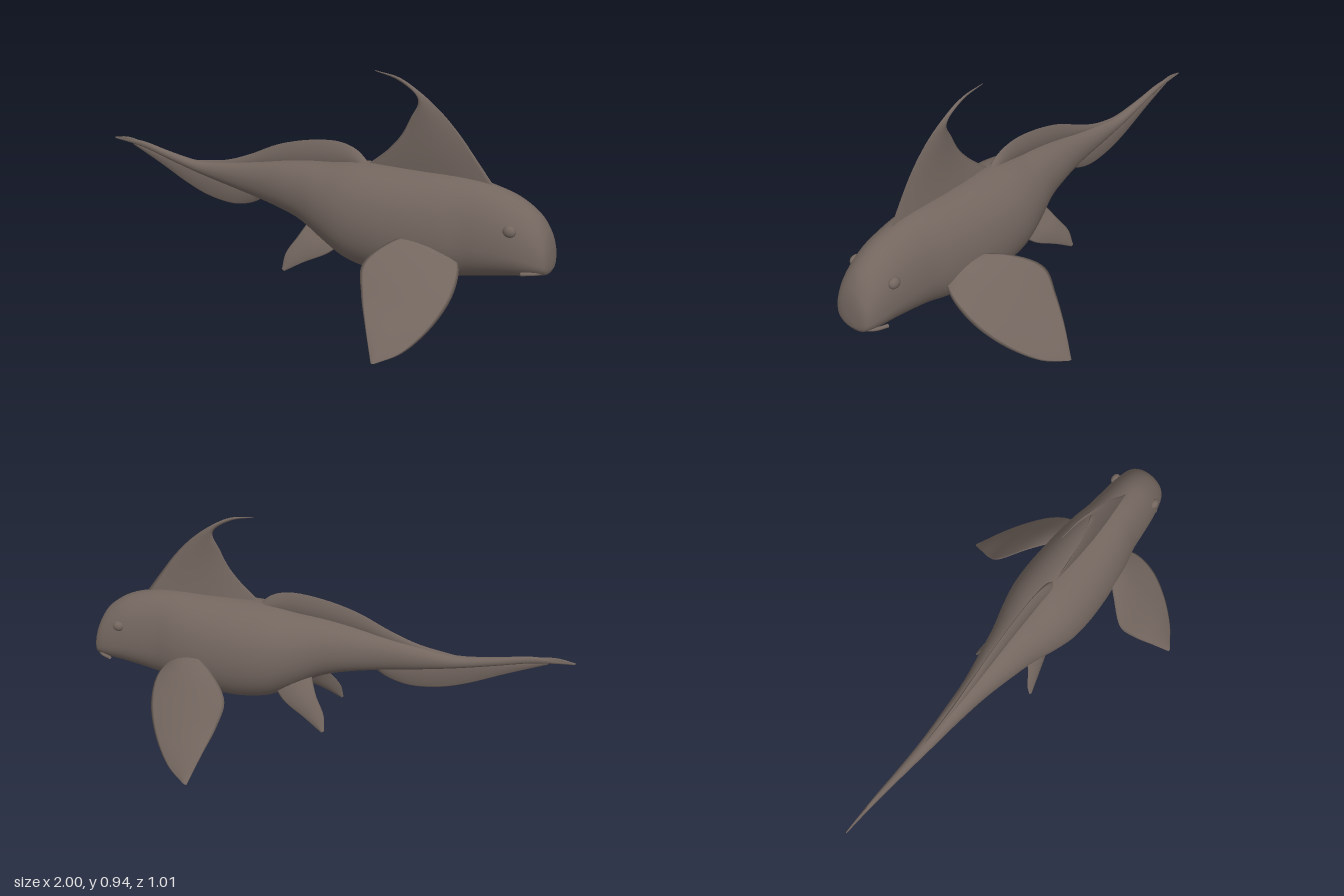
import * as THREE from 'three';

const skin = new THREE.MeshStandardMaterial({ color: 0x73665f, side: THREE.DoubleSide });
skin.name = 'greyBrownSkin';

// Joins closed rings of points into one smooth skin
function loft(rings, name) {
  const n = rings[0].length, pos = [], idx = [];
  rings.forEach(r => r.forEach(p => pos.push(p.x, p.y, p.z)));
  for (let i = 0; i < rings.length - 1; i++) {
    for (let j = 0; j < n; j++) {
      const a = i * n + j, b = i * n + (j + 1) % n;
      idx.push(a, a + n, b, b, a + n, b + n);
    }
  }
  const g = new THREE.BufferGeometry();
  g.setAttribute('position', new THREE.Float32BufferAttribute(pos, 3));
  g.setIndex(idx);
  g.computeVertexNormals();
  const mesh = new THREE.Mesh(g, skin);
  mesh.name = name;
  return mesh;
}

const curve = pts => new THREE.CatmullRomCurve3(pts.map(p => new THREE.Vector3(...p)), false, 'centripetal');

// Fin with a lens-shaped section between two edge curves, thinning from t0 to t1
function fin(name, edgeA, edgeB, t0, t1) {
  const a = curve(edgeA), b = curve(edgeB), rows = 30, rings = [];
  for (let i = 0; i <= rows; i++) {
    const t = i / rows, p = a.getPoint(t), q = b.getPoint(t);
    const mid = p.clone().lerp(q, 0.5), half = p.clone().sub(q).multiplyScalar(0.5);
    const span = a.getTangent(t).add(b.getTangent(t));
    const out = new THREE.Vector3().crossVectors(half, span).normalize();
    const thick = Math.min(THREE.MathUtils.lerp(t0, t1, t), half.length() * 0.6);
    const ring = [];
    for (let j = 0; j < 16; j++) {
      const u = j / 16 * Math.PI * 2, s = Math.sin(u);
      ring.push(mid.clone().addScaledVector(half, Math.cos(u)).addScaledVector(out, s * Math.abs(s) * thick));
    }
    rings.push(ring);
  }
  return loft(rings, name);
}

// Body stations: x, bottom, top, half width, middle z, height of the widest line (0 to 1)
const stations = [
  [1.0, 0.28, 0.31, 0.025, 0.008, 0.4], [0.99, 0.263, 0.375, 0.068, 0.008, 0.35],
  [0.97, 0.257, 0.43, 0.088, 0.01, 0.32], [0.93, 0.248, 0.485, 0.102, 0.012, 0.32],
  [0.85, 0.235, 0.537, 0.115, 0.016, 0.35], [0.75, 0.215, 0.567, 0.124, 0.018, 0.38],
  [0.68, 0.2, 0.578, 0.131, 0.018, 0.4], [0.6, 0.18, 0.583, 0.149, 0.018, 0.42],
  [0.5, 0.165, 0.583, 0.163, 0.018, 0.44], [0.4, 0.156, 0.582, 0.171, 0.018, 0.45],
  [0.3, 0.16, 0.58, 0.173, 0.018, 0.46], [0.2, 0.182, 0.575, 0.165, 0.018, 0.46],
  [0.1, 0.235, 0.56, 0.14, 0.018, 0.46], [0, 0.292, 0.55, 0.108, 0.018, 0.46],
  [-0.1, 0.325, 0.535, 0.085, 0.016, 0.47], [-0.25, 0.355, 0.505, 0.054, 0.012, 0.5],
  [-0.4, 0.382, 0.48, 0.037, 0.006, 0.5], [-0.55, 0.412, 0.463, 0.025, 0.002, 0.5],
  [-0.7, 0.447, 0.482, 0.016, -0.002, 0.5], [-0.85, 0.483, 0.509, 0.009, -0.006, 0.5],
  [-1, 0.5, 0.506, 0.002, -0.01, 0.5],
];

function makeBody() {
  const a = curve(stations.map(s => s.slice(0, 3))), b = curve(stations.map(s => [s[3], s[4], s[5]]));
  // Both tables share one parameter, so each is sampled linearly between close stations
  const rings = [];
  const steps = 4;
  const plain = (k, f, col) => {
    const at = i => stations[Math.max(0, Math.min(stations.length - 1, i))][col];
    const [p0, p1, p2, p3] = [at(k - 1), at(k), at(k + 1), at(k + 2)];
    const m1 = (p2 - p0) / 2, m2 = (p3 - p1) / 2, f2 = f * f, f3 = f2 * f;
    return (2 * f3 - 3 * f2 + 1) * p1 + (f3 - 2 * f2 + f) * m1 + (3 * f2 - 2 * f3) * p2 + (f3 - f2) * m2;
  };
  const ringAt = (k, f) => {
    const [x, lo, hi, w, zc, c] = [0, 1, 2, 3, 4, 5].map(col => plain(k, f, col));
    const yc = lo + (hi - lo) * c, ring = [];
    for (let j = 0; j < 40; j++) {
      const u = j / 40 * Math.PI * 2, cy = Math.cos(u), sz = Math.sin(u);
      const e = cy > 0 ? 1 : 0.92;
      ring.push(new THREE.Vector3(x,
        yc + Math.sign(cy) * Math.abs(cy) ** e * (cy > 0 ? hi - yc : yc - lo),
        zc + Math.sign(sz) * Math.abs(sz) ** e * w));
    }
    return ring;
  };
  const first = ringAt(0, 0);
  const centre = new THREE.Vector3(1, 0.295, 0.008);
  rings.push(first.map(() => centre.clone()));
  for (let k = 0; k < stations.length - 1; k++) {
    for (let s = 0; s < steps; s++) rings.push(ringAt(k, s / steps));
  }
  rings.push(ringAt(stations.length - 2, 1));
  return loft(rings, 'body');
}

export function createModel() {
  const model = new THREE.Group();
  model.name = 'fish';
  model.add(makeBody());

  // Tall swept front dorsal fin
  model.add(fin('frontDorsalFin',
    [[0.78, 0.54, 0.02], [0.7, 0.65, 0.03], [0.63, 0.74, 0.034], [0.55, 0.82, 0.034], [0.46, 0.885, 0.03], [0.38, 0.925, 0.025], [0.28, 0.941, 0.02]],
    [[0.23, 0.55, 0.02], [0.34, 0.64, 0.03], [0.4, 0.71, 0.034], [0.435, 0.78, 0.034], [0.462, 0.85, 0.03], [0.38, 0.912, 0.025], [0.28, 0.938, 0.02]],
    0.016, 0.004));

  // Long low rear dorsal fin
  model.add(fin('rearDorsalFin',
    [[0.27, 0.565, 0.018], [0.21, 0.618, 0.014], [0.13, 0.641, 0.01], [0, 0.631, 0.009], [-0.15, 0.592, 0.008], [-0.28, 0.533, 0.006], [-0.4, 0.49, 0.005], [-0.55, 0.465, 0.002]],
    [[0.25, 0.53, 0.018], [0.2, 0.53, 0.018], [0.13, 0.52, 0.018], [0, 0.51, 0.016], [-0.15, 0.49, 0.014], [-0.28, 0.47, 0.01], [-0.4, 0.455, 0.006], [-0.55, 0.44, 0.002]],
    0.02, 0.006));

  // Lower tail fin
  model.add(fin('lowerTailFin',
    [[-0.2, 0.37, 0.012], [-0.27, 0.325, 0.009], [-0.37, 0.301, 0.006], [-0.5, 0.316, 0.003], [-0.6, 0.35, 0], [-0.75, 0.42, -0.004], [-0.9, 0.485, -0.008]],
    [[-0.18, 0.4, 0.012], [-0.27, 0.41, 0.009], [-0.37, 0.42, 0.006], [-0.5, 0.435, 0.003], [-0.6, 0.45, 0], [-0.75, 0.475, -0.004], [-0.9, 0.5, -0.008]],
    0.012, 0.004));

  // Upturned tip of the tail
  model.add(fin('tailTip',
    [[-0.72, 0.485, -0.002], [-0.85, 0.507, -0.006], [-0.93, 0.517, -0.008], [-1, 0.507, -0.01]],
    [[-0.72, 0.45, -0.002], [-0.85, 0.485, -0.006], [-0.93, 0.5, -0.008], [-1, 0.502, -0.01]],
    0.008, 0.002));

  // Paired fins, eyes and nostril-side details
  for (const side of [1, -1]) {
    const label = side > 0 ? 'near' : 'far';
    const swing = pts => pts.map(([x, y, z]) => side > 0 ? [x, y, z] : [x - 0.22 * z, y, -z]);
    const flip = pts => pts.map(([x, y, z]) => [x, y, z * side]);

    model.add(fin(label + 'PectoralFin',
      swing([[0.65, 0.31, 0.09], [0.695, 0.27, 0.16], [0.706, 0.2, 0.25], [0.672, 0.115, 0.35], [0.6, 0.038, 0.445], [0.525, 0.006, 0.5]]),
      swing([[0.55, 0.375, 0.1], [0.44, 0.348, 0.21], [0.372, 0.28, 0.3], [0.4, 0.195, 0.365], [0.45, 0.11, 0.435], [0.508, 0.004, 0.505]]),
      0.024, 0.004));

    model.add(fin(label + 'PelvicFin',
      flip([[0.18, 0.25, 0.07], [0.13, 0.205, 0.1], [0.03, 0.155, 0.13], [-0.045, 0.11, 0.148]]),
      flip([[0.02, 0.31, 0.06], [-0.01, 0.25, 0.1], [-0.05, 0.18, 0.128], [-0.058, 0.118, 0.145]]),
      0.016, 0.005));

    const eye = new THREE.Mesh(new THREE.SphereGeometry(0.022, 20, 14), skin);
    eye.name = label + 'Eye';
    eye.scale.set(1.1, 1, 0.8);
    eye.position.set(0.86, 0.432, 0.015 + side * 0.1);
    model.add(eye);
  }

  // Upper lip running round the snout
  const lipPath = curve([[0.91, 0.277, 0.112], [0.955, 0.28, 0.092], [0.985, 0.28, 0.055], [0.993, 0.281, 0.01],
    [0.985, 0.28, -0.037], [0.955, 0.28, -0.074], [0.91, 0.277, -0.092]]);
  const lip = new THREE.Mesh(new THREE.TubeGeometry(lipPath, 40, 0.007, 8), skin);
  lip.name = 'upperLip';
  model.add(lip);

  return model;
}
